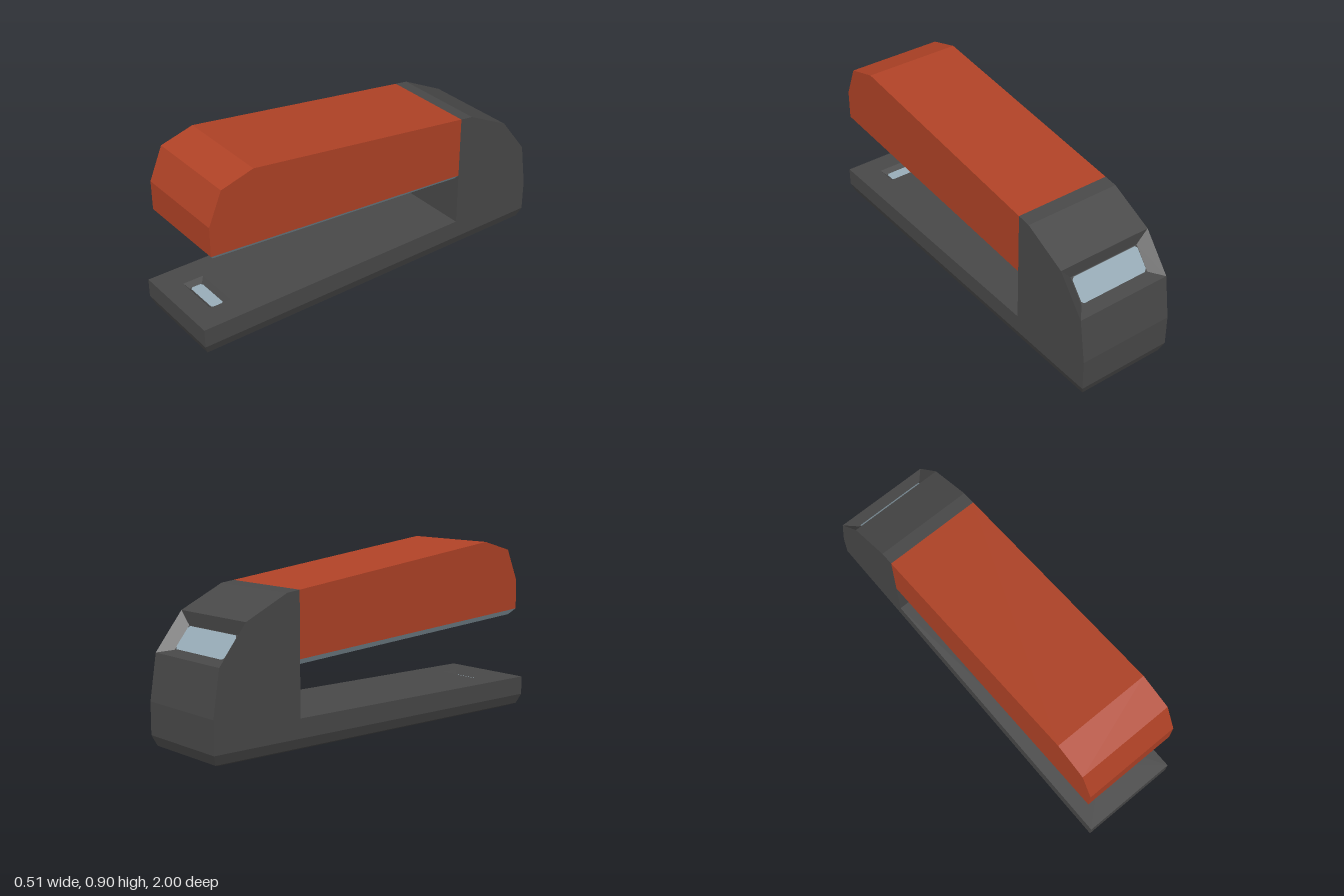
import * as THREE from 'three';
import { mergeGeometries } from 'three/addons/utils/BufferGeometryUtils.js';

const W = 0.254; // half width of the stapler

// Points below are [z, y] pairs in the side plane.
// A rectangle across x between two side points, with optional cut corners.
function ring(p0, p1, h, cut = 0) {
  const at = (x, t) => [x, p0[1] + (p1[1] - p0[1]) * t, p0[0] + (p1[0] - p0[0]) * t];
  if (!cut) return [at(-h, 0), at(h, 0), at(h, 1), at(-h, 1)];
  const c = cut / Math.hypot(p1[0] - p0[0], p1[1] - p0[1]);
  return [at(cut - h, 0), at(h - cut, 0), at(h, c), at(h, 1 - c),
    at(h - cut, 1), at(cut - h, 1), at(-h, 1 - c), at(-h, c)];
}

// Joins successive rings and closes the last one with a flat cap.
function shell(...rings) {
  const pos = [];
  const tri = (a, b, c) => pos.push(...a, ...b, ...c);
  for (let k = 0; k + 1 < rings.length; k++) {
    const A = rings[k], B = rings[k + 1];
    A.forEach((a, i) => {
      const j = (i + 1) % A.length;
      tri(a, A[j], B[j]);
      tri(a, B[j], B[i]);
    });
  }
  const cap = rings[rings.length - 1];
  for (let i = 1; i + 1 < cap.length; i++) tri(cap[0], cap[i], cap[i + 1]);
  const geo = new THREE.BufferGeometry();
  geo.setAttribute('position', new THREE.Float32BufferAttribute(pos, 3));
  geo.computeVertexNormals();
  return geo;
}

// Flat side wall of a profile, facing -x (s = -1) or +x (s = 1).
function wall(profile, s) {
  const shape = new THREE.Shape(profile.map(([z, y]) => new THREE.Vector2(-s * z, y)));
  const geo = new THREE.ShapeGeometry(shape).toNonIndexed();
  geo.deleteAttribute('uv');
  return geo.rotateY(s * Math.PI / 2).translate(s * W, 0, 0);
}

export function createModel() {
  const group = new THREE.Group();
  group.name = 'stapler';
  const material = (name, color) => {
    const m = new THREE.MeshStandardMaterial({ color });
    m.name = name;
    return m;
  };
  const dark = material('darkPlastic', 0x484848);
  const red = material('redPlastic', 0xaf4226);
  const steel = material('steel', 0x98adb8);
  const add = (name, geo, mat) => {
    const mesh = new THREE.Mesh(geo, mat);
    mesh.name = name;
    group.add(mesh);
  };

  // Base and rear housing: one side profile, swept across the width
  const body = [[1, 0.07], [1, 0.165], [-0.52, 0.165], [-0.52, 0.758], [-0.59, 0.75],
    [-0.82, 0.64], [-0.965, 0.455], [-1, 0.23], [-1, 0.07]];
  const parts = [wall(body, -1), wall(body, 1)];
  for (let i = 0; i + 1 < body.length; i++) {
    const rings = [ring(body[i], body[i + 1], W)];
    // staple-forming slot in the base
    if (i === 1) rings.push(ring([0.885, 0.165], [0.775, 0.165], 0.122), ring([0.865, 0.14], [0.795, 0.14], 0.102));
    // recess in the sloping rear face
    if (i === 5) rings.push(ring([-0.817, 0.574], [-0.9, 0.468], 0.195));
    parts.push(shell(...rings));
  }
  // bevelled underside
  parts.push(shell(ring([-1, 0.07], [1, 0.07], W),
    ring([-0.98, 0.02], [0.98, 0.02], 0.234), ring([-0.93, 0], [0.93, 0], 0.185)));
  add('baseAndHousing', mergeGeometries(parts), dark);

  // Steel plates inside the slot and the rear recess
  add('anvilPlate', shell(ring([0.862, 0.143], [0.798, 0.143], 0.098, 0.01)), steel);
  add('rearPlate', shell(ring([-0.821, 0.573], [-0.9, 0.473], 0.192, 0.012)), steel);

  // Red upper arm
  const arm = [[0.94, 0.54], [0.94, 0.69], [0.87, 0.855], [0.7, 0.905], [-0.52, 0.758], [-0.52, 0.44]];
  const armShape = new THREE.Shape(arm.map(([z, y]) => new THREE.Vector2(z, y)));
  const armGeo = new THREE.ExtrudeGeometry(armShape, { depth: 2 * W, bevelEnabled: false });
  add('upperArm', armGeo.rotateY(-Math.PI / 2).translate(W, 0, 0), red);

  // Staple magazine under the arm, with bevelled edges
  add('magazine', shell(ring([-0.52, 0.44], [0.94, 0.54], W),
    ring([-0.52, 0.41], [0.915, 0.508], 0.224)), steel);

  return group;
}
